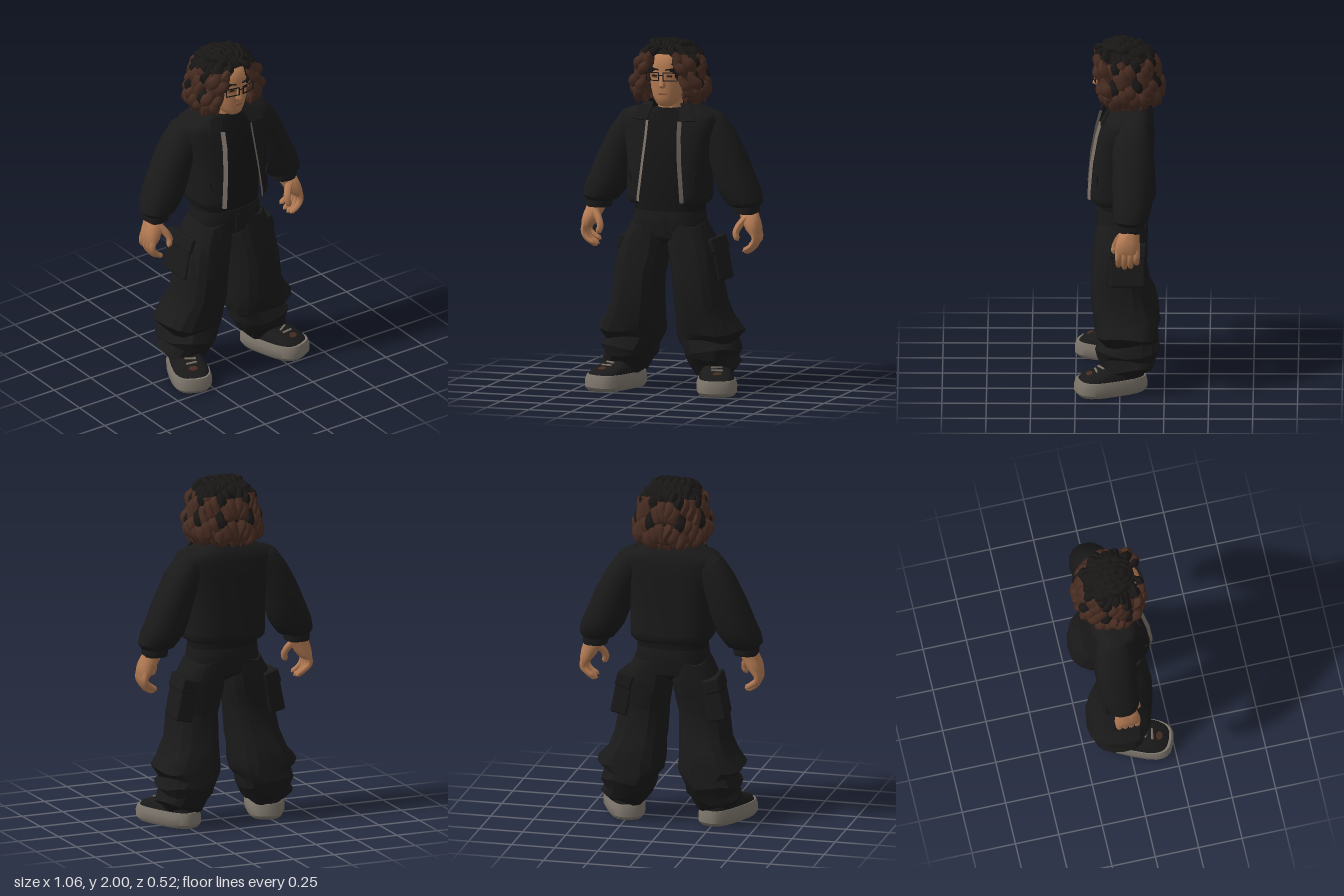
import * as THREE from 'three';
import { toCreasedNormals } from 'three/addons/utils/BufferGeometryUtils.js';
import { RoundedBoxGeometry } from 'three/addons/geometries/RoundedBoxGeometry.js';

const material = (name, color, side = THREE.FrontSide) => {
  const m = new THREE.MeshStandardMaterial({ color, side });
  m.name = name;
  return m;
};

// Closed tube through horizontal rings, bottom to top: [y, centreX, radiusX, frontZ, backZ, tilt]
function loft(rings, { exp = 0.8, segs = 20, fold = 0, crease = 0.6, widen = 0 } = {}) {
  const pos = [], idx = [];
  const pow = (v) => Math.sign(v) * Math.abs(v) ** exp;
  rings.forEach(([y, cx, rx, f, b, tilt = 0], i) => {
    for (let j = 0; j < segs; j++) {
      const a = (j / segs) * Math.PI * 2, u = pow(Math.sin(a)), w = pow(Math.cos(a));
      const x = u * rx * (1 + widen * w);
      pos.push(cx + x, y + x * tilt + fold * Math.sin(3 * a + i * 2), (f + b) / 2 + (w * (f - b)) / 2);
    }
  });
  for (let i = 0; i < rings.length - 1; i++) for (let j = 0; j < segs; j++) {
    const k = (j + 1) % segs, a = i * segs, b = a + segs;
    idx.push(a + j, a + k, b + k, a + j, b + k, b + j);
  }
  const n = rings.length * segs, last = n - segs;
  for (const r of [rings[0], rings[rings.length - 1]]) pos.push(r[1], r[0], (r[3] + r[4]) / 2);
  for (let j = 0; j < segs; j++) {
    const k = (j + 1) % segs;
    idx.push(n, k, j, n + 1, last + j, last + k);
  }
  const g = new THREE.BufferGeometry();
  g.setAttribute('position', new THREE.Float32BufferAttribute(pos, 3));
  g.setIndex(idx);
  return toCreasedNormals(g, crease);
}

// Open sheet through rows of points
function sheet(rows) {
  const n = rows[0].length, idx = [];
  for (let i = 0; i < rows.length - 1; i++) for (let j = 0; j < n - 1; j++) {
    const a = i * n + j, b = a + n;
    idx.push(a, a + 1, b + 1, a, b + 1, b);
  }
  const g = new THREE.BufferGeometry();
  g.setAttribute('position', new THREE.Float32BufferAttribute(rows.flat(2), 3));
  g.setIndex(idx);
  g.computeVertexNormals();
  return g;
}

// Mirror across x and restore the winding
function mirrored(geo) {
  const g = geo.clone().scale(-1, 1, 1);
  const n = g.index ? g.index.count : g.attributes.position.count, idx = [];
  for (let i = 0; i < n; i += 3) for (const k of [0, 2, 1]) idx.push(g.index ? g.index.getX(i + k) : i + k);
  g.setIndex(idx);
  return g;
}

const curve = (pts) => new THREE.CatmullRomCurve3(pts.map((p) => new THREE.Vector3(...p)));

// Tube with a radius rule r(t)
function shapedTube(path, segs, sides, r) {
  const g = new THREE.TubeGeometry(path, segs, 1, sides), p = g.attributes.position, v = new THREE.Vector3();
  for (let i = 0; i < p.count; i++) {
    const t = Math.floor(i / (sides + 1)) / segs, c = path.getPointAt(t);
    v.fromBufferAttribute(p, i).sub(c).multiplyScalar(r(t)).add(c);
    p.setXYZ(i, v.x, v.y, v.z);
  }
  g.computeVertexNormals();
  return g;
}

const box = (w, h, d, x, y, z, rx = 0, ry = 0, rz = 0, r = 0.012) =>
  new RoundedBoxGeometry(w, h, d, 2, Math.min(r, w / 3, h / 3, d / 3)).rotateX(rx).rotateY(ry).rotateZ(rz).translate(x, y, z);

export function createModel() {
  const model = new THREE.Group();
  const skin = material('skin', 0xb57c54), lip = material('lip', 0x96603f);
  const jacket = material('jacket cloth', 0x1a1a1a, THREE.DoubleSide), shirt = material('shirt cloth', 0x161616);
  const trousers = material('trouser cloth', 0x1a1a1a), zip = material('zip metal', 0x7a7067, THREE.DoubleSide);
  const dark = material('dark hair', 0x191716), brown = material('brown hair', 0x472c21);
  const sole = material('sole rubber', 0x7d766c), shoe = material('shoe leather', 0x1a1a1a);
  const add = (name, geo, mat) => {
    const m = new THREE.Mesh(geo, mat);
    m.name = name;
    model.add(m);
  };
  const pair = (name, geo, mat) => {
    add('left ' + name, geo, mat);
    add('right ' + name, mirrored(geo), mat);
  };

  // Head and face
  add('neck', new THREE.CylinderGeometry(0.065, 0.075, 0.16, 16).translate(0, 1.62, -0.02), skin);
  add('head', loft([
    [1.62, 0, 0.035, 0.1, 0.02], [1.635, 0, 0.055, 0.118, -0.03], [1.67, 0, 0.078, 0.124, -0.07],
    [1.72, 0, 0.094, 0.128, -0.1], [1.78, 0, 0.102, 0.13, -0.12], [1.85, 0, 0.103, 0.135, -0.13],
    [1.91, 0, 0.085, 0.118, -0.12], [1.935, 0, 0.05, 0.06, -0.06]], { exp: 0.85, segs: 24, crease: 1.5 }), skin);
  add('nose', loft([[1.728, 0, 0.012, 0.14, 0.1], [1.74, 0, 0.022, 0.157, 0.1],
    [1.77, 0, 0.013, 0.147, 0.1], [1.81, 0, 0.01, 0.135, 0.1]], { segs: 10, crease: 1.2 }), skin);
  add('mouth', box(0.05, 0.014, 0.012, 0, 1.695, 0.122), lip);
  pair('eyelid', box(0.054, 0.026, 0.006, 0.046, 1.797, 0.127, 0, 0.15), lip);
  pair('eye', box(0.03, 0.01, 0.008, 0.044, 1.797, 0.129), dark);
  pair('eyebrow', box(0.055, 0.008, 0.01, 0.047, 1.836, 0.13, 0, 0.2, 0.16), dark);

  // Glasses
  const rim = new THREE.Shape(), hole = new THREE.Path();
  const rect = (s, w, h) => s.moveTo(-w, -h).lineTo(w, -h).lineTo(w + 0.002, h).lineTo(-w, h).closePath();
  rect(rim, 0.041, 0.025);
  rect(hole, 0.036, 0.0205);
  rim.holes.push(hole);
  pair('glasses rim', new THREE.ExtrudeGeometry(rim, { depth: 0.005, bevelEnabled: false })
    .rotateY(0.2).translate(0.051, 1.795, 0.143), dark);
  pair('glasses arm', box(0.005, 0.008, 0.12, 0.098, 1.808, 0.08), dark);
  add('glasses bridge', box(0.024, 0.005, 0.006, 0, 1.803, 0.153), dark);

  // Hair: dark cap and curled locks, dark at the crown and brown below
  add('hair cap', new THREE.SphereGeometry(1, 24, 16).scale(0.16, 0.15, 0.168).translate(0, 1.833, -0.036), dark);
  add('hair back', new THREE.SphereGeometry(1, 20, 14).scale(0.175, 0.13, 0.115).translate(0, 1.745, -0.11), dark);
  const lock = (pts, seed, r, split) => {
    const base = curve(pts), wavy = [];
    for (let i = 0; i <= 26; i++) {
      const t = i / 26, w = 0.012 * Math.min(1, t * 2), p = base.getPointAt(t);
      wavy.push([p.x + w * Math.sin(t * 24 + seed), p.y, p.z + w * Math.cos(t * 24 + seed)]);
    }
    const g = shapedTube(curve(wavy), 28, 7, (t) =>
      r * (1 + 0.14 * Math.sin(t * 42 + seed)) * Math.min(1, 0.4 + t * 2) * Math.min(1, (1 - t) * 7 + 0.02));
    const cut = Math.round(split * 28) * 42;
    g.addGroup(0, cut, 0);
    g.addGroup(cut, Infinity, 1);
    return g;
  };
  const colours = [dark, brown];
  for (let layer = 0; layer < 2; layer++) {
    const count = 13, k = layer ? 0.86 : 1;
    for (let i = 0; i < count; i++) {
      const a = 0.78 + ((i + layer * 0.5) / (count - 0.5)) * (Math.PI - 0.78);
      const c = Math.cos(a), rx = 0.192 * k, rz = (c > 0 ? 0.155 : 0.19) * k, drop = 0.015 * Math.sin(i * 2.4);
      const at = (s, y) => [Math.sin(a) * rx * s, y, -0.03 + c * rz * s];
      const pts = [at(0.08, 1.97), at(0.5, 1.948), at(0.8, 1.885), at(0.94, 1.78), at(1.03, 1.69), at(0.93, 1.632 + drop)];
      pair('hair lock', lock(pts, i * 1.9 + layer, 0.029, i % 4 === 2 ? 0.72 : 0.33), colours);
    }
  }
  pair('front curtain', lock([[0.018, 1.955, 0.06], [0.05, 1.94, 0.112], [0.088, 1.885, 0.127], [0.118, 1.8, 0.108],
    [0.13, 1.72, 0.095], [0.122, 1.655, 0.085]], 1, 0.028, 0.22), colours);
  pair('outer curtain', lock([[0.03, 1.96, 0.03], [0.09, 1.945, 0.08], [0.132, 1.88, 0.09], [0.165, 1.78, 0.075],
    [0.182, 1.7, 0.065], [0.165, 1.645, 0.06]], 3, 0.031, 0.3), colours);
  for (let i = 0; i < 3; i++) {
    const x = 0.012 + i * 0.032;
    pair('crown lock', lock([[x * 0.5, 1.945, 0.095], [x, 1.966, 0.05], [x * 1.2, 1.97 - i * 0.006, -0.03],
      [x * 1.2, 1.945 - i * 0.008, -0.11], [x, 1.9 - i * 0.01, -0.16]], i * 2, 0.026, 1), colours);
  }

  // Shirt
  add('shirt', loft([[1.02, 0, 0.2, 0.125, -0.16], [1.1, 0, 0.2, 0.13, -0.16], [1.3, 0, 0.2, 0.12, -0.16],
    [1.45, 0, 0.21, 0.095, -0.16], [1.54, 0, 0.19, 0.07, -0.14], [1.585, 0, 0.11, 0.058, -0.12],
    [1.605, 0, 0.075, 0.052, -0.1]], { segs: 28 }), shirt);

  // Open jacket: [y, radiusX, frontZ, backZ, half opening]
  const rows = [], zipRows = [], e = 0.65;
  for (const [y, rx, f, b, gap] of [[1.065, 0.215, 0.16, -0.18, 0.135], [1.085, 0.23, 0.175, -0.2, 0.132],
    [1.12, 0.235, 0.175, -0.2, 0.13], [1.3, 0.235, 0.155, -0.19, 0.112], [1.45, 0.265, 0.125, -0.19, 0.1],
    [1.54, 0.285, 0.1, -0.185, 0.098], [1.575, 0.26, 0.085, -0.175, 0.096], [1.6, 0.19, 0.07, -0.165, 0.09],
    [1.635, 0.13, 0.05, -0.14, 0.08]]) {
    const g = Math.asin((gap / rx) ** (1 / e)), row = [], cz = (f + b) / 2, rz = (f - b) / 2;
    for (let j = 0; j <= 32; j++) {
      const a = g + (j / 32) * (Math.PI * 2 - 2 * g), s = Math.sin(a), c = Math.cos(a);
      row.push([Math.sign(s) * rx * Math.abs(s) ** e, y, cz + Math.sign(c) * rz * Math.abs(c) ** e]);
    }
    rows.push(row);
    const z = row[0][2];
    if (y > 1.07 && y < 1.55) zipRows.push([[gap - 0.012, y, z + 0.02], [gap + 0.008, y, z + 0.003]]);
  }
  add('jacket body', sheet(rows), jacket);
  pair('zip', sheet(zipRows), zip);
  const flap = new THREE.Shape([[0.075, 0.04], [0.1, -0.045], [0.185, -0.04], [0.15, 0.045]].map((p) => new THREE.Vector2(...p)));
  pair('collar flap', new THREE.ExtrudeGeometry(flap, { depth: 0.012, bevelEnabled: false })
    .rotateX(-0.5).translate(0, 1.575, 0.08), jacket);
  pair('jacket pocket welt', box(0.014, 0.11, 0.01, 0.185, 1.2, 0.13, 0, 0.6, -0.25), jacket);

  // Sleeves, cuffs and hands
  pair('sleeve', loft([[1.048, 0.435, 0.07, 0.01, -0.14], [1.068, 0.43, 0.1, 0.03, -0.155, 0.12],
    [1.115, 0.41, 0.106, 0.04, -0.175, 0.25], [1.17, 0.38, 0.106, 0.04, -0.185, 0.38],
    [1.27, 0.34, 0.1, 0.045, -0.19, 0.5], [1.33, 0.318, 0.092, 0.04, -0.19, 0.58],
    [1.415, 0.28, 0.082, 0.045, -0.185, 0.7], [1.51, 0.225, 0.066, 0.03, -0.17, 0.9],
    [1.55, 0.165, 0.042, 0.03, -0.15, 1.2]], { segs: 14, exp: 0.88 }), jacket);
  pair('cuff', loft([[1.01, 0.437, 0.066, 0.005, -0.135], [1.03, 0.437, 0.072, 0.01, -0.14],
    [1.06, 0.435, 0.07, 0.008, -0.138]]), jacket);
  pair('palm', loft([[0.895, 0.498, 0.025, 0.022, -0.112], [0.925, 0.488, 0.041, 0.028, -0.115],
    [0.965, 0.472, 0.05, 0.018, -0.112], [1.02, 0.448, 0.056, -0.01, -0.11]], { segs: 14, crease: 1.2 }), skin);
  for (let i = 0; i < 4; i++) {
    const z = 0.007 - i * 0.034, d = [0.012, 0, 0.005, 0.025][i];
    pair('finger', shapedTube(curve([[0.497, 0.925, z], [0.506, 0.87, z], [0.484, 0.82 + d, z], [0.435, 0.79 + d, z]]),
      10, 8, (t) => 0.02 * (t > 0.95 ? 0.1 : 1 - 0.25 * t)), skin);
  }
  pair('thumb', shapedTube(curve([[0.45, 0.99, -0.02], [0.415, 0.945, 0.012], [0.402, 0.905, 0.028], [0.418, 0.865, 0.035]]),
    10, 8, (t) => 0.024 * (t > 0.95 ? 0.1 : 1 - 0.3 * t)), skin);

  // Trousers
  add('hips', loft([[0.82, 0, 0.025, 0.04, -0.06], [0.87, 0, 0.2, 0.118, -0.145], [0.95, 0, 0.213, 0.132, -0.158],
    [1.03, 0, 0.196, 0.122, -0.155]], { segs: 24 }), trousers);
  add('waistband', loft([[0.985, 0, 0.205, 0.134, -0.165], [1.025, 0, 0.2, 0.13, -0.162]], { segs: 24 }), trousers);
  add('fly', box(0.045, 0.11, 0.012, 0, 0.94, 0.13), trousers);
  pair('trouser leg', loft([[0.1, 0.245, 0.1, 0.06, -0.14], [0.15, 0.262, 0.142, 0.1, -0.19],
    [0.2, 0.237, 0.143, 0.13, -0.21], [0.24, 0.245, 0.157, 0.14, -0.225], [0.29, 0.217, 0.163, 0.118, -0.22],
    [0.34, 0.234, 0.192, 0.14, -0.215], [0.42, 0.208, 0.162, 0.15, -0.2], [0.5, 0.187, 0.145, 0.163, -0.17],
    [0.65, 0.172, 0.138, 0.165, -0.14], [0.78, 0.148, 0.14, 0.15, -0.155], [0.85, 0.132, 0.135, 0.14, -0.155],
    [0.95, 0.108, 0.105, 0.125, -0.15]], { fold: 0.014, segs: 16, crease: 0.4 }), trousers);
  pair('cargo pocket', box(0.1, 0.2, 0.2, 0.263, 0.72, -0.045, 0, -0.08, 0.2), trousers);
  pair('cargo pocket flap', box(0.1, 0.085, 0.215, 0.245, 0.822, -0.045, 0, -0.08, 0.28), trousers);

  // Shoes, toes turned outwards
  const foot = (g) => g.rotateY(0.37).translate(0.295, 0, 0.052);
  const shoeForm = { exp: 0.68, segs: 24, widen: 0.12 };
  pair('shoe sole', foot(loft([[0, 0, 0.098, 0.192, -0.195], [0.02, 0, 0.111, 0.207, -0.21],
    [0.06, 0, 0.112, 0.207, -0.21], [0.09, 0, 0.103, 0.197, -0.203]], shoeForm)), sole);
  pair('shoe upper', foot(loft([[0.085, 0, 0.099, 0.188, -0.195], [0.11, 0, 0.094, 0.165, -0.19],
    [0.135, 0, 0.08, 0.09, -0.18], [0.165, 0, 0.062, 0.02, -0.17], [0.2, 0, 0.05, -0.01, -0.16]], shoeForm)), shoe);
  pair('toe patch', foot(new THREE.CylinderGeometry(0.026, 0.026, 0.006, 12).scale(1, 1, 0.7)
    .rotateX(0.32).translate(0, 0.123, 0.128)), brown);
  for (let i = 0; i < 3; i++)
    pair('lace', foot(box(0.066, 0.01, 0.012, 0, 0.137 + i * 0.013, 0.088 - i * 0.03, 0.4, i % 2 ? 0.2 : -0.2)), zip);
  return model;
}
